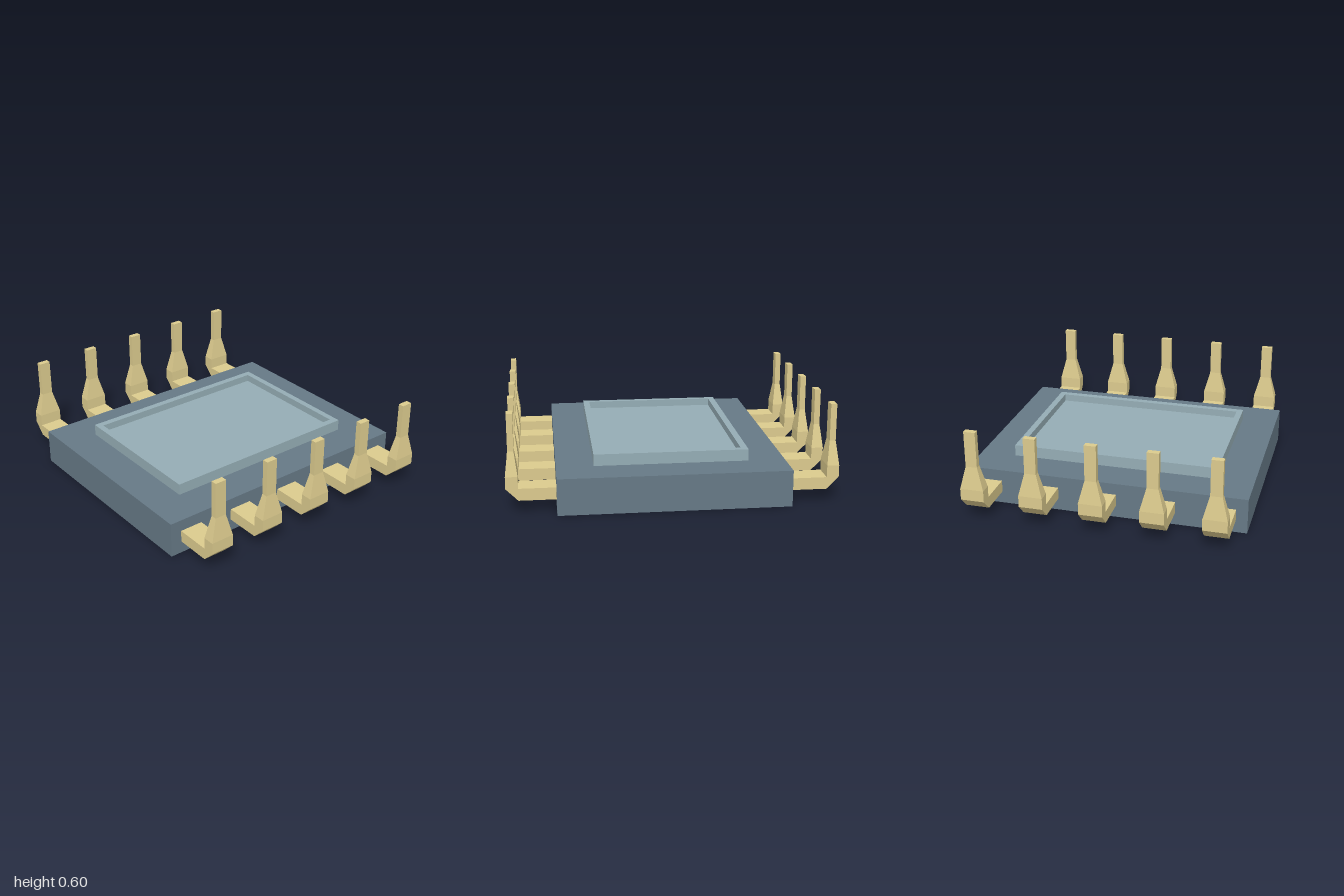
import * as THREE from 'three';

const material = (color) => new THREE.MeshStandardMaterial({ color, flatShading: true });

// Solid through rectangular sections [outerY, outerZ, innerY, innerZ, halfWidth].
function loft(sections) {
  const rings = sections.map(([oy, oz, iy, iz, w]) => [
    new THREE.Vector3(-w, oy, oz), new THREE.Vector3(w, oy, oz),
    new THREE.Vector3(w, iy, iz), new THREE.Vector3(-w, iy, iz),
  ]);
  const points = [];
  const tri = (a, b, c) => {
    if (new THREE.Triangle(a, b, c).getArea() > 1e-7) points.push(a, b, c);
  };
  const quad = (a, b, c, d) => { tri(a, b, c); tri(a, c, d); };
  for (let k = 0; k < rings.length - 1; k++) {
    for (let j = 0; j < 4; j++) {
      const n = (j + 1) % 4;
      quad(rings[k][j], rings[k][n], rings[k + 1][n], rings[k + 1][j]);
    }
  }
  quad(...[...rings[0]].reverse());
  quad(...rings[rings.length - 1]);
  const geometry = new THREE.BufferGeometry().setFromPoints(points);
  geometry.computeVertexNormals();
  return geometry;
}

function rectangle(path, x, z) {
  path.moveTo(-x, -z);
  path.lineTo(x, -z);
  path.lineTo(x, z);
  path.lineTo(-x, z);
  path.closePath();
  return path;
}

export function createModel() {
  const model = new THREE.Group();
  const bodyMaterial = material(0x667986);
  const lidMaterial = material(0x95adb5);
  const pinMaterial = material(0xdccb8e);

  const add = (parent, name, geometry, mat) => {
    const mesh = new THREE.Mesh(geometry, mat);
    mesh.name = name;
    parent.add(mesh);
    return mesh;
  };

  // Package body
  add(model, 'body', new THREE.BoxGeometry(1.776, 0.225, 1.404), bodyMaterial).position.y = 0.1125;

  // Lid: raised rim around a sunken panel
  const rim = rectangle(new THREE.Shape(), 0.66, 0.474);
  rim.holes.push(rectangle(new THREE.Path(), 0.62, 0.432));
  const rimGeometry = new THREE.ExtrudeGeometry(rim, { depth: 0.072, bevelEnabled: false });
  rimGeometry.rotateX(-Math.PI / 2);
  add(model, 'lidRim', rimGeometry, lidMaterial).position.y = 0.225;
  add(model, 'lidPanel', new THREE.BoxGeometry(1.24, 0.025, 0.864), lidMaterial).position.y = 0.2375;

  // Bent pin: flat foot, chamfered elbow, tapered neck, thin tip
  const pinGeometry = loft([
    [0.078, 0.7, 0.152, 0.7, 0.074],
    [0.078, 0.926, 0.152, 0.926, 0.074],
    [0.152, 1, 0.152, 0.926, 0.074],
    [0.225, 1, 0.225, 0.926, 0.074],
    [0.37, 0.982, 0.37, 0.945, 0.036],
    [0.597, 0.982, 0.597, 0.945, 0.036],
  ]);

  // Five pins in a row on the front and on the back
  for (const [name, angle] of [['frontPins', 0], ['backPins', Math.PI]]) {
    const row = new THREE.Group();
    row.name = name;
    row.rotation.y = angle;
    for (let i = -2; i <= 2; i++) {
      add(row, 'pin', pinGeometry, pinMaterial).position.x = i * 0.371;
    }
    model.add(row);
  }
  return model;
}
